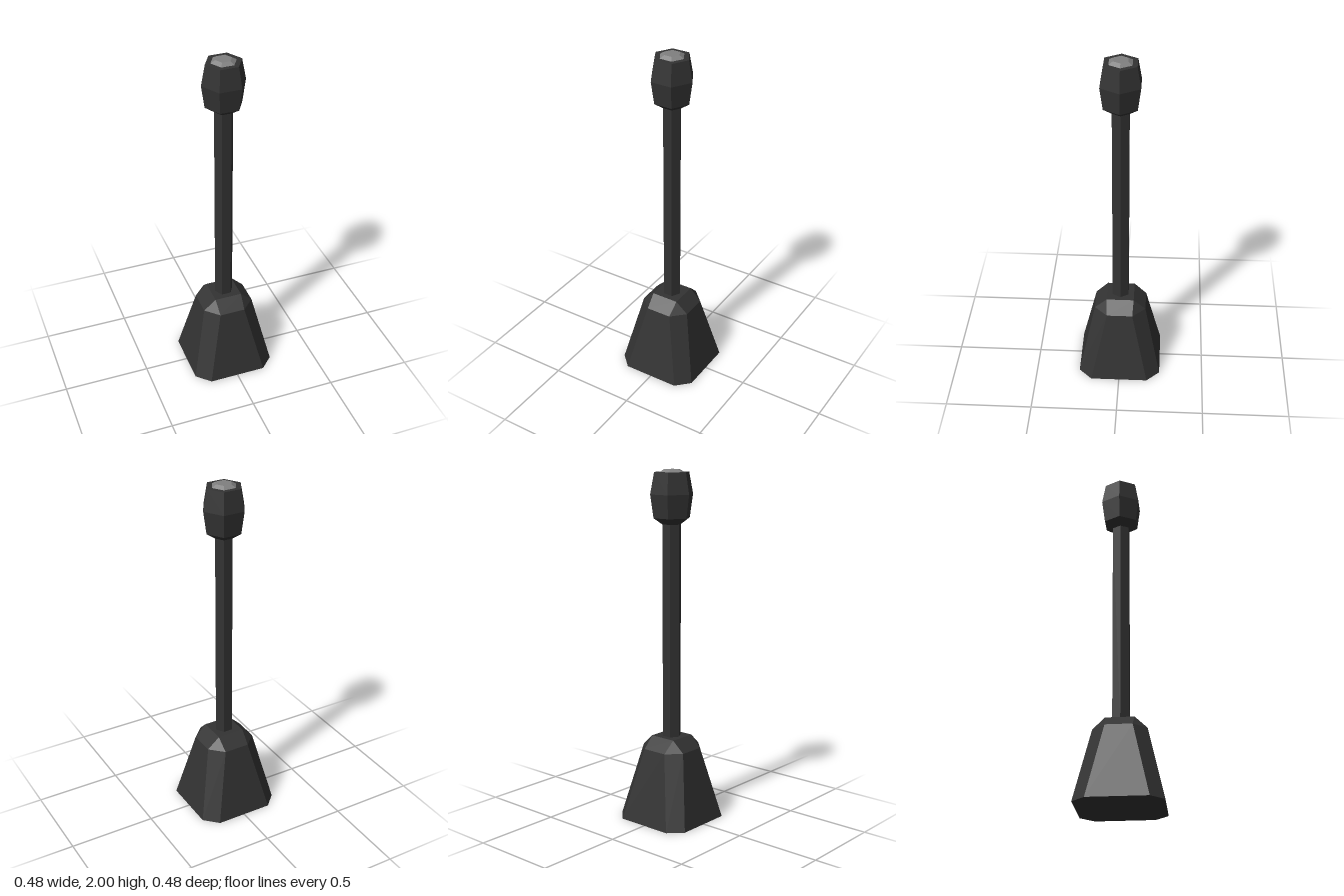
import * as THREE from 'three';

// flat facets: every triangle gets its own normals
function flat(geometry) {
  const g = geometry.index ? geometry.toNonIndexed() : geometry;
  g.computeVertexNormals();
  return g;
}

// six-sided turned part from [radius, y] pairs, corners on the x axis
function hexPart(profile) {
  const points = profile.map(([r, y]) => new THREE.Vector2(r, y));
  return flat(new THREE.LatheGeometry(points, 6).rotateY(Math.PI / 2));
}

// square ring with chamfered corners
function ring(half, corner, y) {
  return [[half, corner], [corner, half], [-corner, half], [-half, corner],
    [-half, -corner], [-corner, -half], [corner, -half], [half, -corner]]
    .map(([x, z]) => [x, y, z]);
}

// walls between successive rings, closed at both ends
function loft(rings) {
  const n = 8, index = [];
  for (let r = 0; r < rings.length - 1; r++) {
    for (let i = 0; i < n; i++) {
      const a = r * n + i, b = r * n + (i + 1) % n;
      index.push(a, a + n, b, b, a + n, b + n);
    }
  }
  const top = (rings.length - 1) * n;
  for (let i = 1; i < n - 1; i++) {
    index.push(0, i, i + 1, top, top + i + 1, top + i);
  }
  const g = new THREE.BufferGeometry();
  g.setAttribute('position', new THREE.Float32BufferAttribute(rings.flat(2), 3));
  g.setIndex(index);
  return flat(g);
}

export function createModel() {
  const model = new THREE.Group();
  const black = new THREE.MeshStandardMaterial({ color: 0x333333 });
  black.name = 'black';
  const grey = new THREE.MeshStandardMaterial({ color: 0x808080 });
  grey.name = 'grey';

  function add(name, geometry, material) {
    const mesh = new THREE.Mesh(geometry, material);
    mesh.name = name;
    model.add(mesh);
  }

  // tapered base whose chamfers close to a square at the top
  add('base', loft([ring(0.242, 0.167, 0), ring(0.15, 0.075, 0.42), ring(0.08, 0.08, 0.485)]), black);

  // slim hexagonal neck
  add('neck', hexPart([[0.054, 0.47], [0.054, 1.705]]), black);

  // barrel-shaped head with a flat rim
  add('head', hexPart([[0, 1.7], [0.055, 1.7], [0.106, 1.735], [0.125, 1.865],
    [0.102, 1.985], [0.07, 1.985]]), black);

  // low domed mesh cap in the rim
  add('headCap', hexPart([[0.072, 1.985], [0.046, 2], [0, 2]]), grey);

  return model;
}
